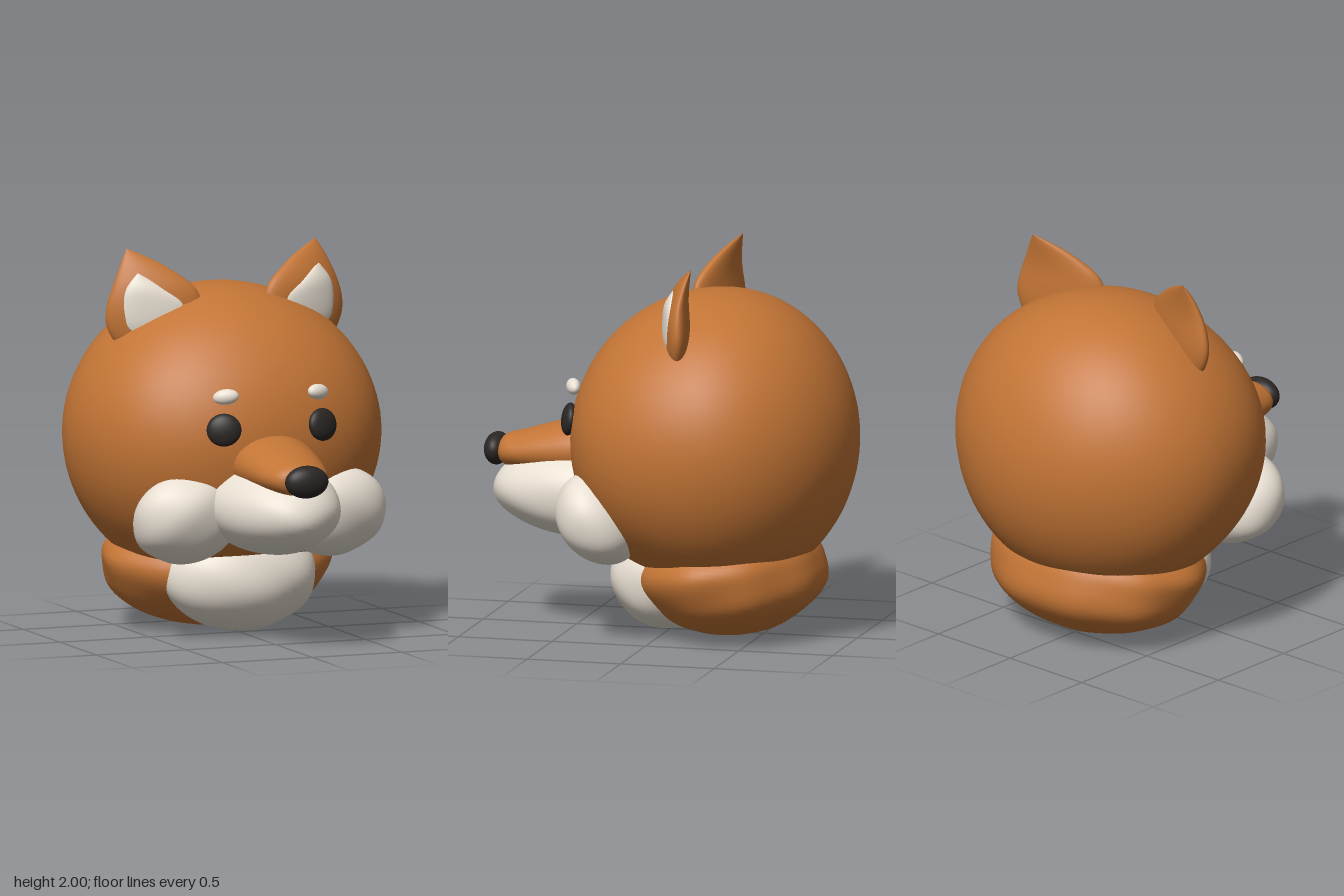
import * as THREE from 'three';
import { mergeVertices } from 'three/addons/utils/BufferGeometryUtils.js';

const material = (color) => new THREE.MeshStandardMaterial({ color, roughness: 0.8 });
const FUR = material(0xc27435);
const WHITE = material(0xe8dfd2);
const DARK = material(0x2a2624);

function addMesh(parent, name, geometry, mat) {
  const mesh = new THREE.Mesh(geometry, mat);
  mesh.name = name;
  parent.add(mesh);
  return mesh;
}

// Ellipsoid whose unit-sphere points may be reshaped by a rule
function blob(parent, name, mat, center, radii, reshape = null, detail = 48) {
  let geo = new THREE.SphereGeometry(1, detail, detail * 0.75);
  geo.deleteAttribute('uv');
  geo.deleteAttribute('normal');
  geo = mergeVertices(geo);
  const pos = geo.attributes.position;
  const v = new THREE.Vector3();
  for (let i = 0; i < pos.count; i++) {
    v.fromBufferAttribute(pos, i);
    if (reshape) reshape(v);
    pos.setXYZ(i, v.x * radii[0], v.y * radii[1], v.z * radii[2]);
  }
  geo.computeVertexNormals();
  const mesh = addMesh(parent, name, geo, mat);
  mesh.position.set(...center);
  return mesh;
}

// Gentle hand-sculpted waves
const waves = (amount, freq) => (v) =>
  v.multiplyScalar(1 + amount * Math.sin(freq * v.y + 2 * v.x) * Math.cos(freq * 0.8 * v.x - 3 * v.z));

// Smooth skin over sections; point(section, cos, sin) places each ring vertex
function loft(sections, point, steps = 24, sides = 36) {
  const positions = [];
  const index = [];
  const last = sections.length - 1;
  for (let i = 0; i <= steps; i++) {
    const t = (i / steps) * last;
    const k = Math.min(Math.floor(t), last - 1);
    const at = (n) => sections[Math.max(0, Math.min(last, n))];
    const s = sections[0].map((_, c) =>
      THREE.MathUtils.clamp(
        catmull(at(k - 1)[c], at(k)[c], at(k + 1)[c], at(k + 2)[c], t - k), -3, 3));
    for (let j = 0; j < sides; j++) {
      const a = (j / sides) * Math.PI * 2;
      positions.push(...point(s, Math.cos(a), Math.sin(a)));
    }
  }
  for (let i = 0; i < steps; i++) {
    for (let j = 0; j < sides; j++) {
      const a = i * sides + j;
      const b = i * sides + (j + 1) % sides;
      index.push(a, b, b + sides, a, b + sides, a + sides);
    }
  }
  const geo = new THREE.BufferGeometry();
  geo.setAttribute('position', new THREE.Float32BufferAttribute(positions, 3));
  geo.setIndex(index);
  geo.computeVertexNormals();
  return geo;
}

function catmull(a, b, c, d, t) {
  const m0 = (c - a) / 2;
  const m1 = (d - b) / 2;
  return b + t * (m0 + t * (3 * (c - b) - 2 * m0 - m1 + t * (2 * (b - c) + m0 + m1)));
}

// Ear sections: height, inner x, outer x, half thickness, z shift
const earPoint = ([y, x0, x1, thick, shift], c, s) => {
  const x = (x0 + x1) / 2 + ((x1 - x0) / 2) * c;
  return [x, y, -0.09 - 0.26 * (x - 0.2) + shift - thick * s];
};

// Eye, brow, cheek and ear of the +x side
function buildSide(name) {
  const side = new THREE.Group();
  side.name = name;

  const eye = blob(side, 'eye', DARK, [0.275, 1.135, 0.468], [0.09, 0.085, 0.04], null, 32);
  eye.rotation.set(-0.15, 0.36, 0);
  const brow = blob(side, 'brow', WHITE, [0.257, 1.305, 0.45], [0.068, 0.04, 0.036], null, 24);
  brow.rotation.set(-0.25, 0.45, 0);

  const cheek = blob(side, 'cheek', WHITE, [0.41, 0.65, 0.275], [0.285, 0.255, 0.2], waves(0.025, 4));
  cheek.rotation.x = 0.6;

  addMesh(side, 'ear', loft([
    [1.48, 0.3, 0.58, 0.05, 0],
    [1.56, 0.22, 0.635, 0.065, 0],
    [1.64, 0.18, 0.66, 0.07, 0],
    [1.72, 0.175, 0.652, 0.068, 0],
    [1.8, 0.205, 0.626, 0.058, -0.005],
    [1.87, 0.285, 0.596, 0.044, -0.02],
    [1.94, 0.395, 0.562, 0.025, -0.045],
    [2.0, 0.525, 0.525, 0, -0.075],
  ], earPoint), FUR);
  addMesh(side, 'innerEar', loft([
    [1.54, 0.36, 0.54, 0.02, 0.035],
    [1.62, 0.27, 0.58, 0.035, 0.042],
    [1.73, 0.28, 0.585, 0.036, 0.042],
    [1.81, 0.385, 0.565, 0.03, 0.034],
    [1.885, 0.505, 0.505, 0, 0.022],
  ], earPoint), WHITE);
  return side;
}

export function createModel() {
  const model = new THREE.Group();
  model.name = 'foxBust';

  // Head: round, fuller towards the cheeks, longer in front
  blob(model, 'head', FUR, [0, 1.03, -0.27], [0.83, 0.77, 0.74], (v) => {
    v.x *= 1 + 0.12 * Math.max(0, v.z) ** 2;
    v.z *= v.z > 0 ? 1.04 : 0.96;
    if (v.y < 0) v.y *= 1.04;
    waves(0.006, 3)(v);
  }, 72);

  // Neck ruff with soft folds, flatter on top
  blob(model, 'neck', FUR, [0, 0.345, -0.33], [0.61, 0.34, 0.485], (v) => {
    const a = Math.atan2(v.x, v.z);
    const fold = 1 + 0.018 * Math.sin(7 * v.y + 3 * Math.cos(a)) + 0.01 * Math.cos(9 * a);
    v.x *= fold;
    v.z *= fold;
    if (v.y > 0) v.y *= 0.85;
  }, 64);
  blob(model, 'chest', WHITE, [0, 0.3, 0], [0.415, 0.28, 0.3], waves(0.02, 5));

  // Muzzle
  blob(model, 'muzzle', WHITE, [0, 0.72, 0.42], [0.335, 0.245, 0.52], waves(0.015, 5));
  // Snout bridge sections: z, centre y, half width, half height
  addMesh(model, 'snout', loft([
    [0.25, 0.95, 0.2, 0.15],
    [0.45, 0.94, 0.225, 0.16],
    [0.62, 0.93, 0.21, 0.132],
    [0.78, 0.915, 0.175, 0.1],
    [0.88, 0.91, 0.125, 0.075],
    [0.93, 0.91, 0, 0],
  ], ([z, y, w, h], c, s) => [w * c, y + h * s, z]), FUR);
  blob(model, 'nose', DARK, [0, 0.91, 0.925], [0.118, 0.085, 0.065], null, 32);

  const left = buildSide('leftSide');
  const right = buildSide('rightSide');
  right.scale.x = -1;
  model.add(left, right);
  return model;
}
